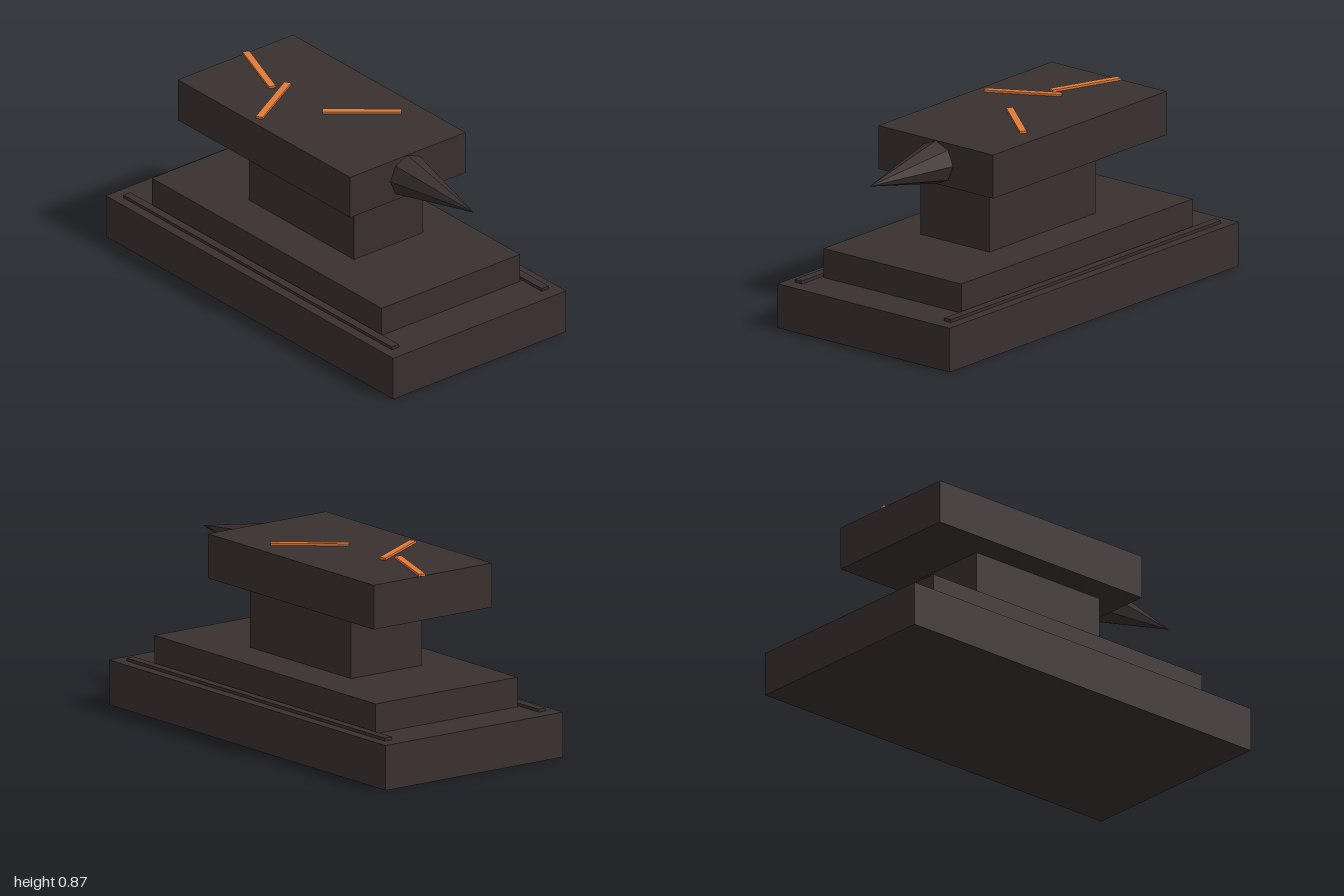
import * as THREE from 'three';

export function createModel() {
  const model = new THREE.Group();
  model.name = 'anvil';

  const iron = new THREE.MeshStandardMaterial({ color: 0x3a3030 });
  iron.name = 'dark iron';
  iron.flatShading = true;
  const ember = new THREE.MeshStandardMaterial({ color: 0xe07b39 });
  ember.name = 'glowing orange';

  // Box given by its width, vertical range and depth range
  function block(name, width, y0, y1, z0, z1, x = 0) {
    const mesh = new THREE.Mesh(new THREE.BoxGeometry(width, y1 - y0, z1 - z0), iron);
    mesh.position.set(x, (y0 + y1) / 2, (z0 + z1) / 2);
    mesh.name = name;
    model.add(mesh);
  }

  // Stepped body
  block('base', 1, 0, 0.206, -1, 1);
  block('plinth', 0.8, 0.206, 0.342, -0.8, 0.8);
  block('waist', 0.4, 0.342, 0.653, -0.366, 0.366);
  block('head', 0.666, 0.653, 0.856, -0.7, 0.5);

  // Thin rails along both sides of the base
  for (const side of [-1, 1]) {
    block(side > 0 ? 'leftRail' : 'rightRail', 0.04, 0.206, 0.22, -0.935, 0.935, side * 0.433);
  }

  // Eight-sided horn pointing forward
  const horn = new THREE.Mesh(new THREE.ConeGeometry(0.1, 0.46, 8), iron);
  horn.rotation.x = Math.PI / 2;
  horn.position.set(0, 0.754, 0.73);
  horn.name = 'horn';
  model.add(horn);

  // Glowing strips on the striking face: x, z, angle in degrees
  const strips = [[0, -0.535, 70], [-0.137, -0.27, 29], [0.1, 0.061, -40]];
  strips.forEach(([x, z, angle], i) => {
    const strip = new THREE.Mesh(new THREE.BoxGeometry(0.35, 0.01, 0.032), ember);
    strip.position.set(x, 0.861, z);
    strip.rotation.y = THREE.MathUtils.degToRad(angle);
    strip.name = `glowStrip${i + 1}`;
    model.add(strip);
  });

  return model;
}
